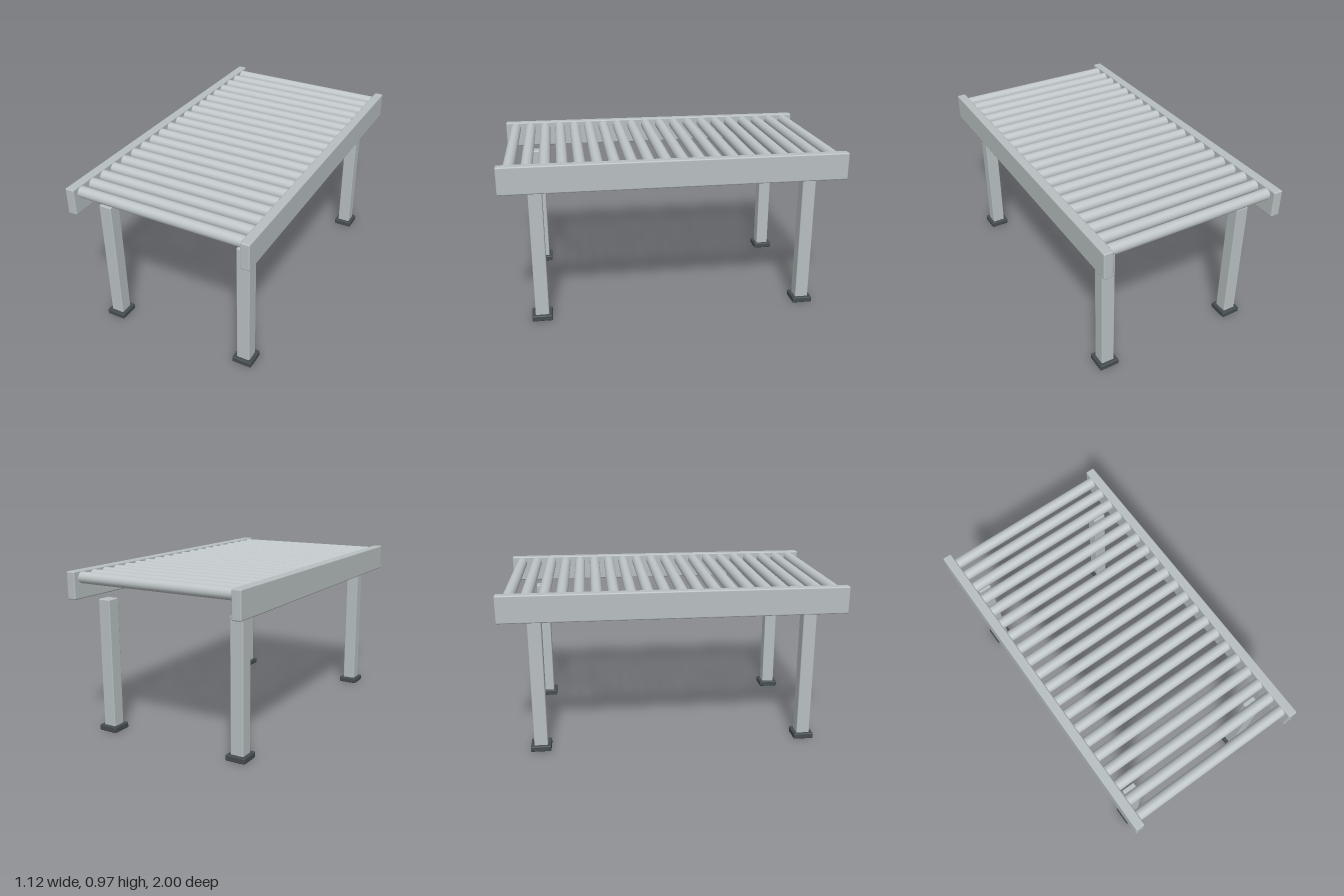
import * as THREE from 'three';
import { RoundedBoxGeometry } from 'three/addons/geometries/RoundedBoxGeometry.js';

const frameSteel = new THREE.MeshStandardMaterial({ name: 'frame steel', color: 0xb8bfc1 });
const rollerSteel = new THREE.MeshStandardMaterial({ name: 'roller steel', color: 0xbfc6c8 });
const darkRubber = new THREE.MeshStandardMaterial({ name: 'dark rubber', color: 0x454c50 });

const ROLLERS = 20;
const ROLLER_END = 0.935;

function addPart(parent, name, geometry, material, x, y, z) {
  const mesh = new THREE.Mesh(geometry, material);
  mesh.name = name;
  mesh.position.set(x, y, z);
  parent.add(mesh);
  return mesh;
}

export function createModel() {
  const model = new THREE.Group();
  model.name = 'rollerConveyor';

  const railGeo = new RoundedBoxGeometry(0.056, 0.16, 2, 2, 0.008);
  const legGeo = new RoundedBoxGeometry(0.08, 0.78, 0.08, 2, 0.006);
  const footGeo = new RoundedBoxGeometry(0.12, 0.034, 0.12, 2, 0.006);
  const rollerGeo = new THREE.CylinderGeometry(0.033, 0.033, 1.02, 24).rotateZ(Math.PI / 2);

  for (const side of [1, -1]) {
    const sideName = side > 0 ? 'left' : 'right';
    // Long side rails
    addPart(model, sideName + 'Rail', railGeo, frameSteel, side * 0.533, 0.895, 0);

    // Legs on dark foot pads, with a small gap below the rails
    for (const end of [1, -1]) {
      const leg = new THREE.Group();
      leg.name = sideName + (end > 0 ? 'Front' : 'Back') + 'Leg';
      leg.position.set(side * 0.44, 0, end * 0.8);
      addPart(leg, 'post', legGeo, frameSteel, 0, 0.41, 0);
      addPart(leg, 'footPad', footGeo, darkRubber, 0, 0.018, 0);
      model.add(leg);
    }
  }

  // Row of rollers between the rails
  const rollers = new THREE.Group();
  rollers.name = 'rollers';
  for (let i = 0; i < ROLLERS; i++) {
    const z = -ROLLER_END + (2 * ROLLER_END * i) / (ROLLERS - 1);
    addPart(rollers, 'roller' + (i + 1), rollerGeo, rollerSteel, 0, 0.936, z);
  }
  model.add(rollers);

  return model;
}
